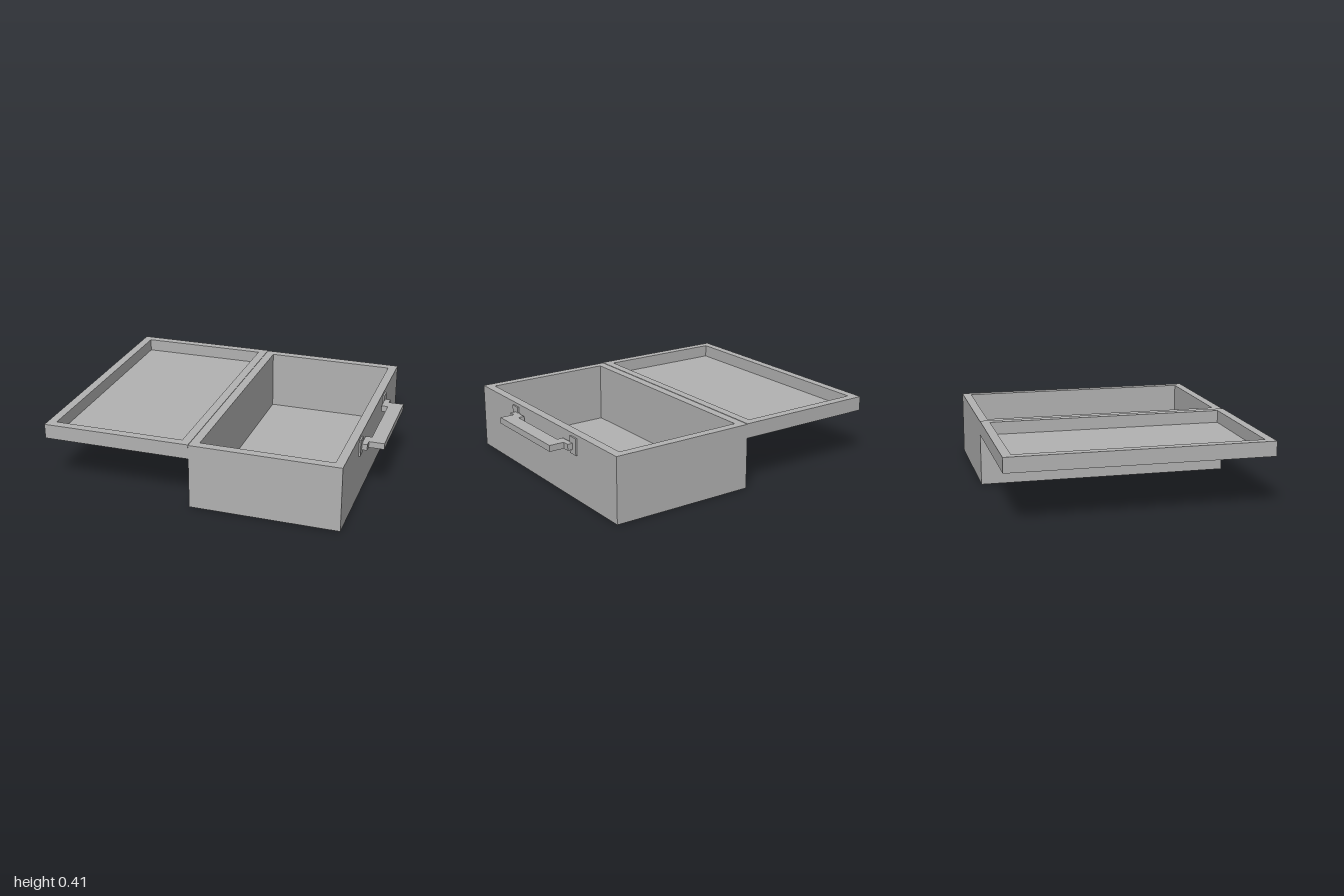
import * as THREE from 'three';

const grey = new THREE.MeshStandardMaterial({ color: 0xb2b2b2 });
grey.name = 'plain grey';

function box(name, x0, x1, y0, y1, z0, z1) {
  const mesh = new THREE.Mesh(new THREE.BoxGeometry(x1 - x0, y1 - y0, z1 - z0), grey);
  mesh.position.set((x0 + x1) / 2, (y0 + y1) / 2, (z0 + z1) / 2);
  mesh.name = name;
  return mesh;
}

// Open tray: a rectangular wall frame with a floor set inside it
function tray(name, width, depth, height, wall, floor) {
  const group = new THREE.Group();
  group.name = name;
  const w = width / 2, d = depth / 2, iw = w - wall, id = d - wall;
  const outline = new THREE.Shape([[-w, -d], [w, -d], [w, d], [-w, d]].map(p => new THREE.Vector2(...p)));
  outline.holes.push(new THREE.Path([[-iw, -id], [-iw, id], [iw, id], [iw, -id]].map(p => new THREE.Vector2(...p))));
  const geometry = new THREE.ExtrudeGeometry(outline, { depth: height, bevelEnabled: false });
  geometry.rotateX(-Math.PI / 2);
  const walls = new THREE.Mesh(geometry, grey);
  walls.name = name + 'Walls';
  group.add(walls, box(name + 'Floor', -iw, iw, 0, floor, -id, id));
  return group;
}

export function createModel() {
  const model = new THREE.Group();
  model.name = 'openCase';

  // Deep lower half
  const base = tray('base', 0.93, 1.608, 0.41, 0.055, 0.025);
  base.position.x = 0.397;
  model.add(base);

  // Shallow lid, folded open to the side with a very slight droop
  const hinge = new THREE.Group();
  hinge.name = 'lidHinge';
  const lid = tray('lid', 0.932, 1.608, 0.092, 0.055, 0.013);
  lid.position.x = -0.466;
  hinge.add(lid);
  hinge.position.set(-0.068, 0.321, 0);
  hinge.rotation.z = 0.003;
  model.add(hinge);

  // Carrying handle: grip, and on each end an arm, a pivot pin and a mounting plate
  const handle = new THREE.Group();
  handle.name = 'handle';
  handle.add(box('grip', 0.91, 1, 0.314, 0.353, -0.238, 0.238));
  for (const s of [1, -1]) {
    const part = (name, x0, x1, y0, y1, a, b) =>
      handle.add(box(name, x0, x1, y0, y1, Math.min(s * a, s * b), Math.max(s * a, s * b)));
    part('handleArm', 0.87, 1, 0.314, 0.353, 0.238, 0.306);
    part('handlePin', 0.862, 0.905, 0.314, 0.353, 0.306, 0.351);
    part('handlePlate', 0.862, 0.872, 0.285, 0.39, 0.318, 0.384);
  }
  model.add(handle);
  return model;
}
